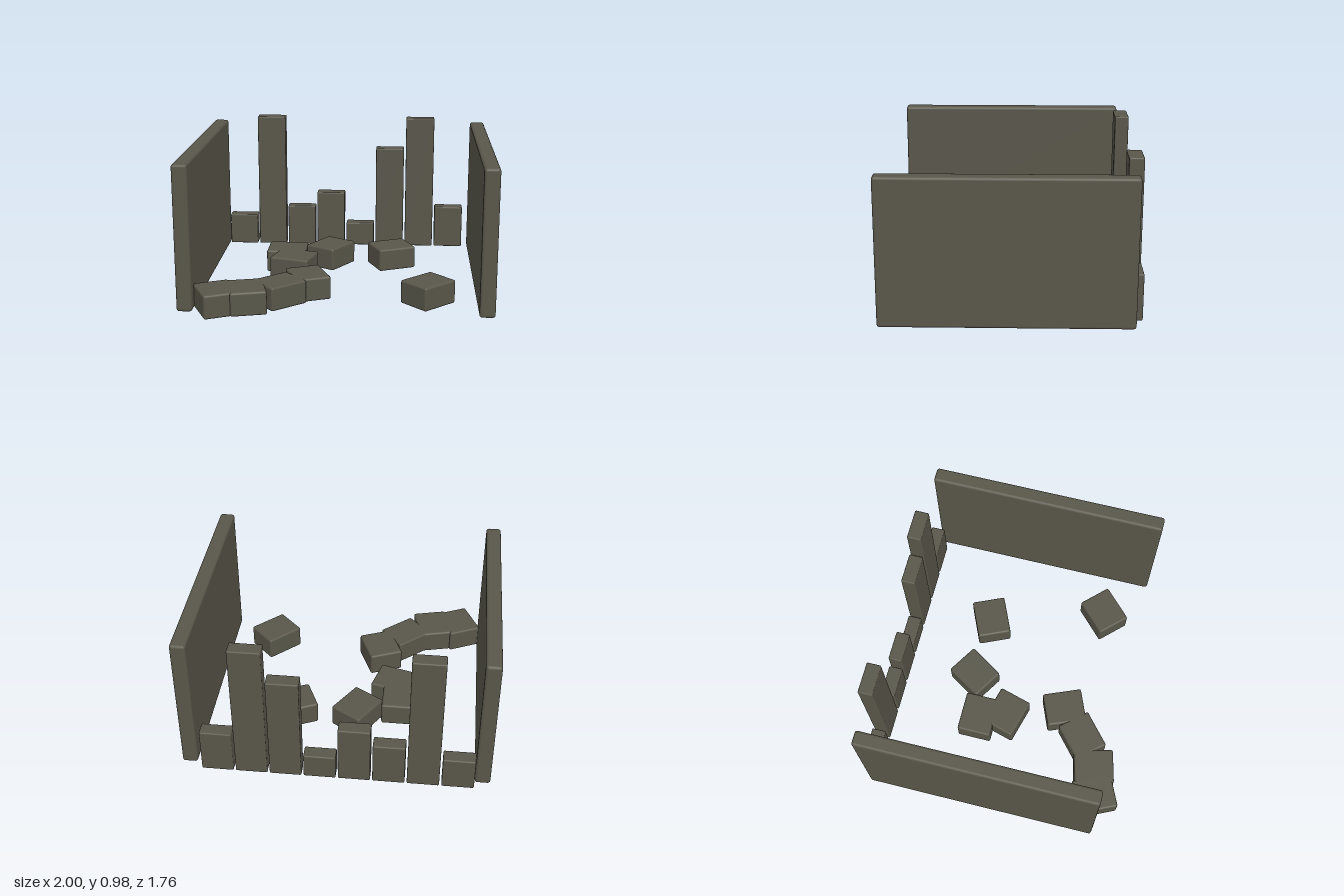
import * as THREE from 'three';
import { RoundedBoxGeometry } from 'three/addons/geometries/RoundedBoxGeometry.js';

export function createModel() {
  const model = new THREE.Group();
  model.name = 'ruinedRoom';
  const stone = new THREE.MeshStandardMaterial({ color: 0x59574a });
  stone.name = 'dark olive stone';

  // Soft-edged box standing on the ground
  function addBlock(name, w, h, d, x, z, radius, degrees = 0) {
    const mesh = new THREE.Mesh(new RoundedBoxGeometry(w, h, d, 2, radius), stone);
    mesh.name = name;
    mesh.position.set(x, h / 2, z);
    mesh.rotation.y = THREE.MathUtils.degToRad(degrees);
    model.add(mesh);
  }

  // Long side walls
  for (const side of [-1, 1]) {
    addBlock(side > 0 ? 'leftWall' : 'rightWall', 0.1, 0.95, 1.575, side * 0.95, -0.043, 0.018);
  }

  // Broken back wall: a row of slabs of uneven height
  const heights = [0.225, 0.982, 0.298, 0.407, 0.172, 0.75, 0.977, 0.306];
  heights.forEach((h, i) => {
    addBlock(`backSlab${i + 1}`, 0.207, h, 0.096, -0.793 + i * 0.2213, -0.833, 0.009);
  });

  // Fallen blocks: x, z, turn in degrees
  const rubble = [
    [-0.395, -0.207, 0],
    [-0.096, -0.31, 58],
    [0.337, -0.3, 24],
    [-0.33, -0.02, -15.5],
    [-0.2, 0.368, -67.5],
    [-0.37, 0.535, 41],
    [-0.565, 0.66, -76],
    [-0.75, 0.708, -65],
    [0.585, 0.48, 44],
  ];
  rubble.forEach(([x, z, turn], i) => {
    addBlock(`fallenBlock${i + 1}`, 0.272, 0.156, 0.232, x, z, 0.014, turn);
  });

  return model;
}
